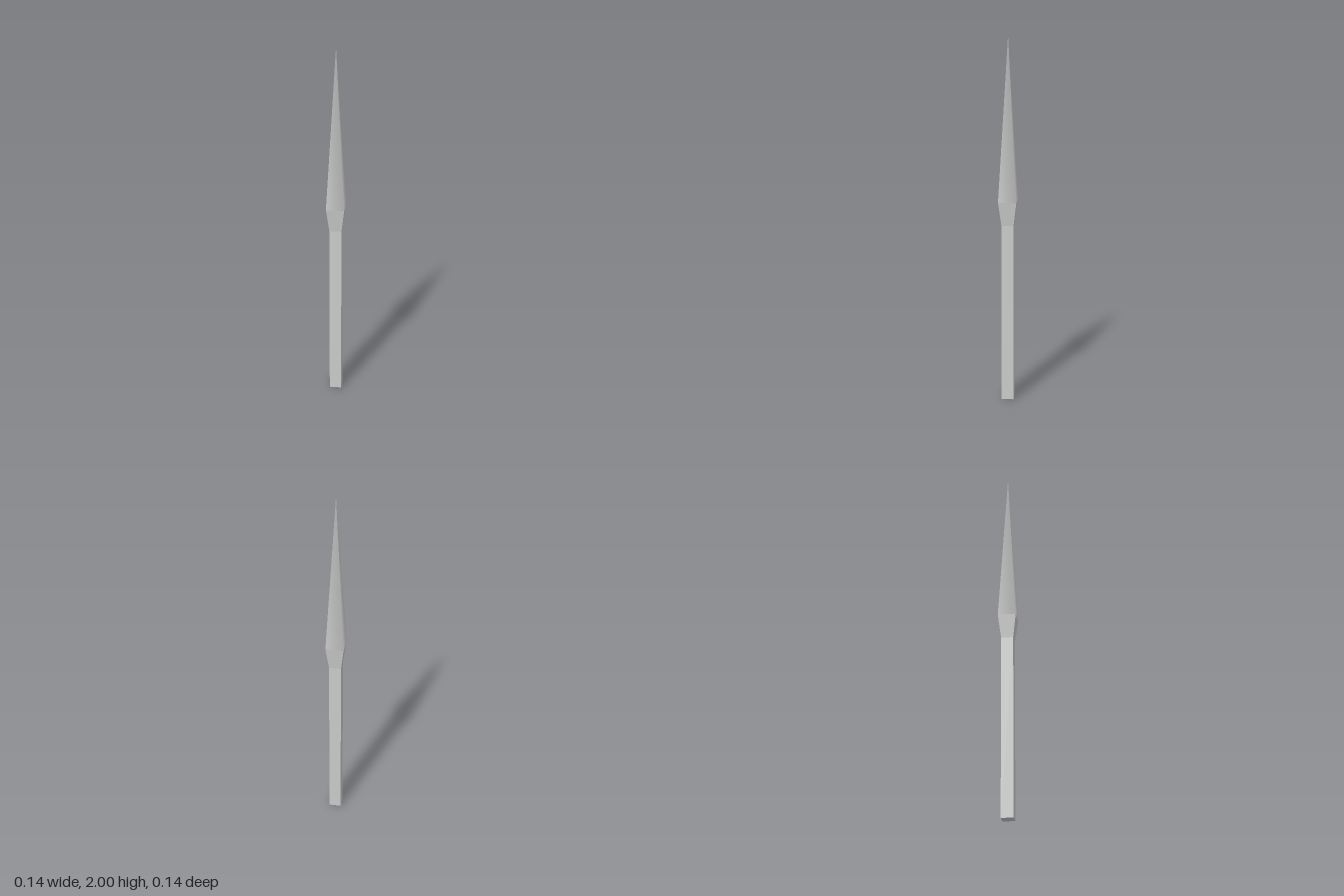
import * as THREE from 'three';

export function createModel() {
  const SIDES = 4;
  const SHAFT_R = 0.046, HEAD_R = 0.069;
  const COLLAR_Y = 0.99, HEAD_Y = 1.12, TIP_Y = 2;

  const group = new THREE.Group();
  group.name = 'spear';
  const flat = new THREE.MeshStandardMaterial({ color: 0xcccccc, flatShading: true });
  const smooth = new THREE.MeshStandardMaterial({ color: 0xcccccc });

  // Four-sided section between two heights, corners on the x and z axes
  function addSection(name, rBottom, rTop, y0, y1, material, open) {
    const geometry = new THREE.CylinderGeometry(rTop, rBottom, y1 - y0, SIDES, 1, open);
    const mesh = new THREE.Mesh(geometry, material);
    mesh.name = name;
    mesh.position.y = (y0 + y1) / 2;
    group.add(mesh);
  }

  // Square shaft, flared collar and smoothly shaded pointed head
  addSection('shaft', SHAFT_R, SHAFT_R, 0, COLLAR_Y, flat, false);
  addSection('collar', SHAFT_R, HEAD_R, COLLAR_Y, HEAD_Y, flat, true);
  addSection('head', HEAD_R, 0, HEAD_Y, TIP_Y, smooth, true);

  return group;
}
